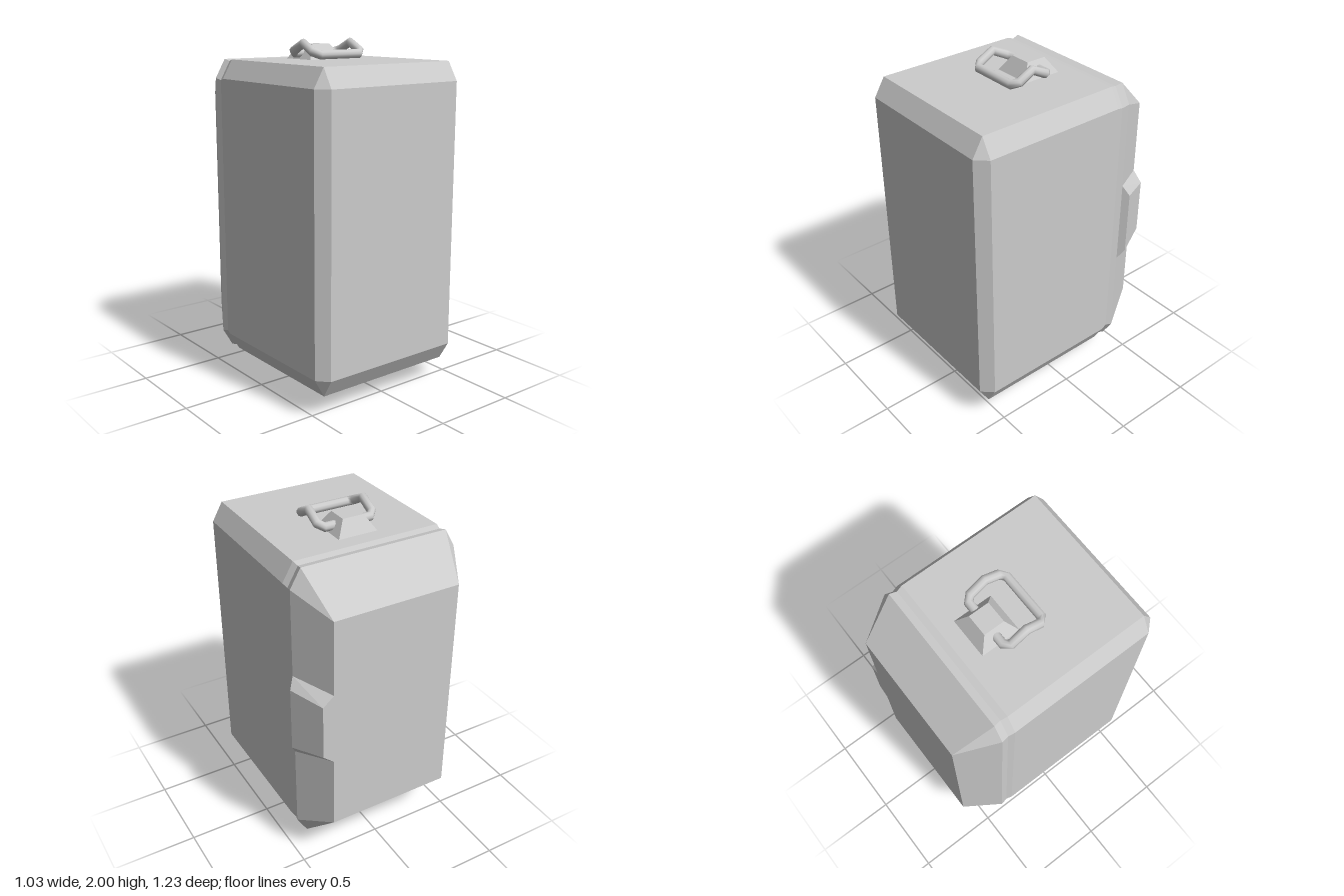
import * as THREE from 'three';

const flat = new THREE.MeshStandardMaterial({ color: 0xcccccc, flatShading: true });
const smooth = new THREE.MeshStandardMaterial({ color: 0xcccccc });

// Skin a list of rings (each counter-clockwise seen from the first ring's side) and cap both ends
function loft(rings) {
  const pos = [];
  const tri = (a, b, c) => {
    const area = b.clone().sub(a).cross(c.clone().sub(a)).length();
    if (area > 1e-7) for (const p of [a, b, c]) pos.push(p.x, p.y, p.z);
  };
  const n = rings[0].length;
  for (let r = 0; r < rings.length - 1; r++) {
    const A = rings[r], B = rings[r + 1];
    for (let i = 0; i < n; i++) {
      const j = (i + 1) % n;
      tri(A[i], B[i], B[j]);
      tri(A[i], B[j], A[j]);
    }
  }
  const first = rings[0], last = rings[rings.length - 1];
  for (let i = 1; i < n - 1; i++) {
    tri(first[0], first[i], first[i + 1]);
    tri(last[0], last[i + 1], last[i]);
  }
  const g = new THREE.BufferGeometry();
  g.setAttribute('position', new THREE.Float32BufferAttribute(pos, 3));
  g.computeVertexNormals();
  return g;
}

function part(name, geometry, material) {
  const m = new THREE.Mesh(geometry, material);
  m.name = name;
  return m;
}

const v = (x, y, z) => new THREE.Vector3(x, y, z);

// Rectangle in the xy plane with its corners cut by cx, cy
function cutRect(z, hx, hy, cx, cy) {
  return [
    [hx, cy - hy], [hx, hy - cy], [hx - cx, hy], [cx - hx, hy],
    [-hx, hy - cy], [-hx, cy - hy], [cx - hx, -hy], [hx - cx, -hy],
  ].map(([x, y]) => v(x, y, z));
}

// Straight-segment path with one tube ring at each point
class Polyline extends THREE.Curve {
  constructor(points) { super(); this.points = points; }
  getPoint(t, target = new THREE.Vector3()) {
    const k = t * (this.points.length - 1);
    const i = Math.min(Math.floor(k), this.points.length - 2);
    return target.lerpVectors(this.points[i], this.points[i + 1], k - i);
  }
  getPointAt(u, target) { return this.getPoint(u, target); }
  getTangentAt(u, target) { return this.getTangent(u, target); }
}

// Tapered mount with a bent bail handle
function createHandle(name) {
  const g = new THREE.Group();
  g.name = name;
  const ring = (y, hx, front, back) => [v(-hx, y, front), v(hx, y, front), v(hx, y, back), v(-hx, y, back)];
  g.add(part('handleMount', loft([ring(0.965, 0.063, -0.045, -0.165), ring(0.88, 0.118, 0.01, -0.22)]), flat));

  const half = [
    v(0.05, 0.915, -0.11), v(0.14, 0.915, -0.11), v(0.168, 0.929, -0.08),
    v(0.168, 0.974, 0.012), v(0.168, 0.929, 0.098), v(0.138, 0.914, 0.13),
  ];
  const path = [...half, ...half.map(p => v(-p.x, p.y, p.z)).reverse()];
  g.add(part('bailHandle', new THREE.TubeGeometry(new Polyline(path), path.length - 1, 0.026, 10), smooth));
  return g;
}

export function createModel() {
  const model = new THREE.Group();
  model.name = 'container';
  model.position.set(-0.018, 1, 0);

  // Bevelled body with a groove before the tapered back
  model.add(part('body', loft([
    cutRect(0.614, 0.44, 0.773, 0, 0),
    cutRect(0.55, 0.5, 0.88, 0.062, 0.107),
    cutRect(-0.312, 0.5, 0.88, 0.062, 0.107),
    cutRect(-0.35, 0.492, 0.87, 0.062, 0.107),
    cutRect(-0.392, 0.5, 0.88, 0.062, 0.107),
    cutRect(-0.614, 0.378, 0.668, 0, 0),
  ]), flat));

  // Raised block on the left rear taper
  const blockRing = (x1, z1, h1, x2, z2, h2) =>
    [v(x1, -h1, z1), v(x2, -h2, z2), v(x2, h2, z2), v(x1, h1, z1)];
  const block = part('sideBlock', loft([
    blockRing(0.533, -0.423, 0.193, 0.443, -0.614, 0.165),
    blockRing(0.5, -0.392, 0.255, 0.378, -0.614, 0.221),
  ]), flat);
  block.position.y = 0.005;
  model.add(block);

  // The same handle on top and underneath
  model.add(createHandle('topHandle'));
  const bottom = createHandle('bottomHandle');
  bottom.rotation.z = Math.PI;
  model.add(bottom);

  const root = new THREE.Group();
  root.add(model);
  return root;
}
